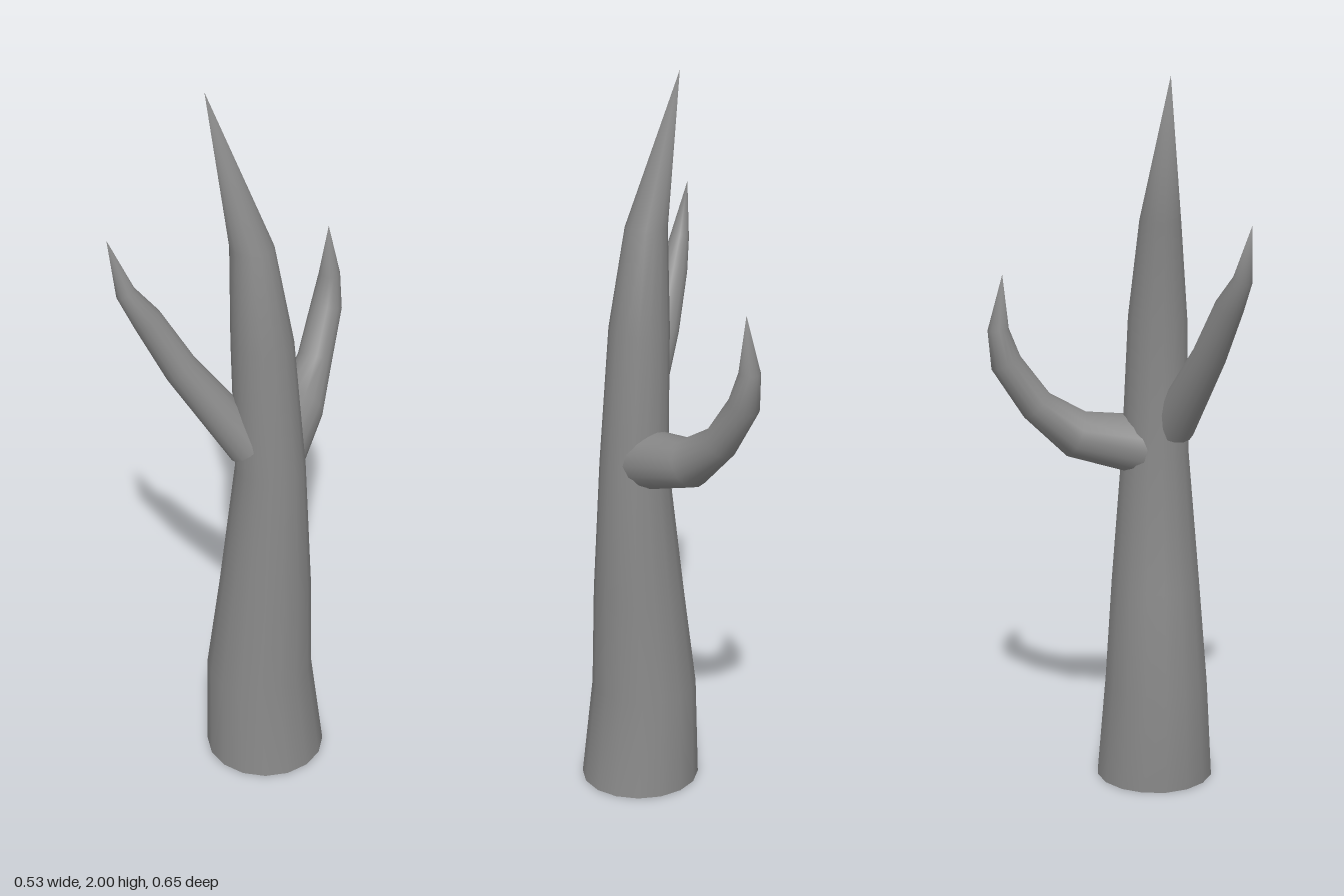
import * as THREE from 'three';

const SIDES = 16;

// Tapered limb through rings [x, y, z, radius]; the last entry is the pointed tip.
// side: axis kept across every ring; level: keep the rings horizontal.
function limbGeometry(rings, side, level) {
  const points = rings.map(([x, y, z]) => new THREE.Vector3(x, y, z));
  const last = rings.length - 1;
  const positions = [];
  const index = [];
  const ringPoint = (i, k) => {
    const n = new THREE.Vector3(0, 1, 0);
    if (!level) {
      n.set(0, 0, 0);
      if (i > 0) n.add(points[i].clone().sub(points[i - 1]).normalize());
      if (i < last) n.add(points[i + 1].clone().sub(points[i]).normalize());
      n.normalize();
    }
    const u = side.clone().addScaledVector(n, -side.dot(n)).normalize();
    const v = n.clone().cross(u);
    const a = (k / SIDES) * Math.PI * 2;
    return points[i].clone()
      .addScaledVector(u, Math.cos(a) * rings[i][3])
      .addScaledVector(v, Math.sin(a) * rings[i][3]);
  };

  for (let i = 0; i < last; i++) {
    for (let k = 0; k < SIDES; k++) positions.push(...ringPoint(i, k).toArray());
  }
  const tip = positions.length / 3;
  positions.push(...points[last].toArray());

  // Side faces, then the point
  for (let i = 0; i < last; i++) {
    for (let k = 0; k < SIDES; k++) {
      const a = i * SIDES + k;
      const b = i * SIDES + (k + 1) % SIDES;
      if (i === last - 1) index.push(a, b, tip);
      else index.push(a, b, b + SIDES, a, b + SIDES, a + SIDES);
    }
  }

  // Flat bottom cap with its own vertices
  const cap = positions.length / 3;
  for (let k = 0; k < SIDES; k++) positions.push(...ringPoint(0, k).toArray());
  for (let k = 1; k < SIDES - 1; k++) index.push(cap, cap + k + 1, cap + k);

  const geometry = new THREE.BufferGeometry();
  geometry.setAttribute('position', new THREE.Float32BufferAttribute(positions, 3));
  geometry.setIndex(index);
  geometry.computeVertexNormals();
  return geometry;
}

export function createModel() {
  const tree = new THREE.Group();
  tree.name = 'bareTree';
  const bark = new THREE.MeshStandardMaterial({ color: 0x888888 });
  bark.name = 'grey bark';

  const addLimb = (name, rings, side, level = false) => {
    const mesh = new THREE.Mesh(limbGeometry(rings, side, level), bark);
    mesh.name = name;
    tree.add(mesh);
  };

  // Trunk, bending over to a sharp top
  addLimb('trunk', [
    [0.096, 0, 0.14, 0.165],
    [0.078, 0.28, 0.14, 0.146],
    [0.095, 0.57, 0.14, 0.125],
    [0.108, 0.95, 0.14, 0.094],
    [0.084, 1.33, 0.14, 0.082],
    [0.055, 1.6, 0.14, 0.057],
    [-0.07, 2, 0.14, 0],
  ], new THREE.Vector3(1, 0, 0), true);

  // Branch reaching back and curling up
  addLimb('backBranch', [
    [0.105, 0.97, 0.1, 0.084],
    [0.105, 1.008, -0.08, 0.067],
    [0.105, 1.095, -0.19, 0.048],
    [0.105, 1.217, -0.273, 0.043],
    [0.105, 1.31, -0.293, 0.029],
    [0.105, 1.46, -0.28, 0],
  ], new THREE.Vector3(1, 0, 0));

  // Branch reaching out to the right and forward
  addLimb('rightBranch', [
    [0.065, 1.03, 0.18, 0.062],
    [-0.1, 1.262, 0.243, 0.046],
    [-0.176, 1.41, 0.278, 0.039],
    [-0.223, 1.49, 0.301, 0.026],
    [-0.265, 1.637, 0.313, 0],
  ], new THREE.Vector3(0.4, 0, 0.92));

  return tree;
}
